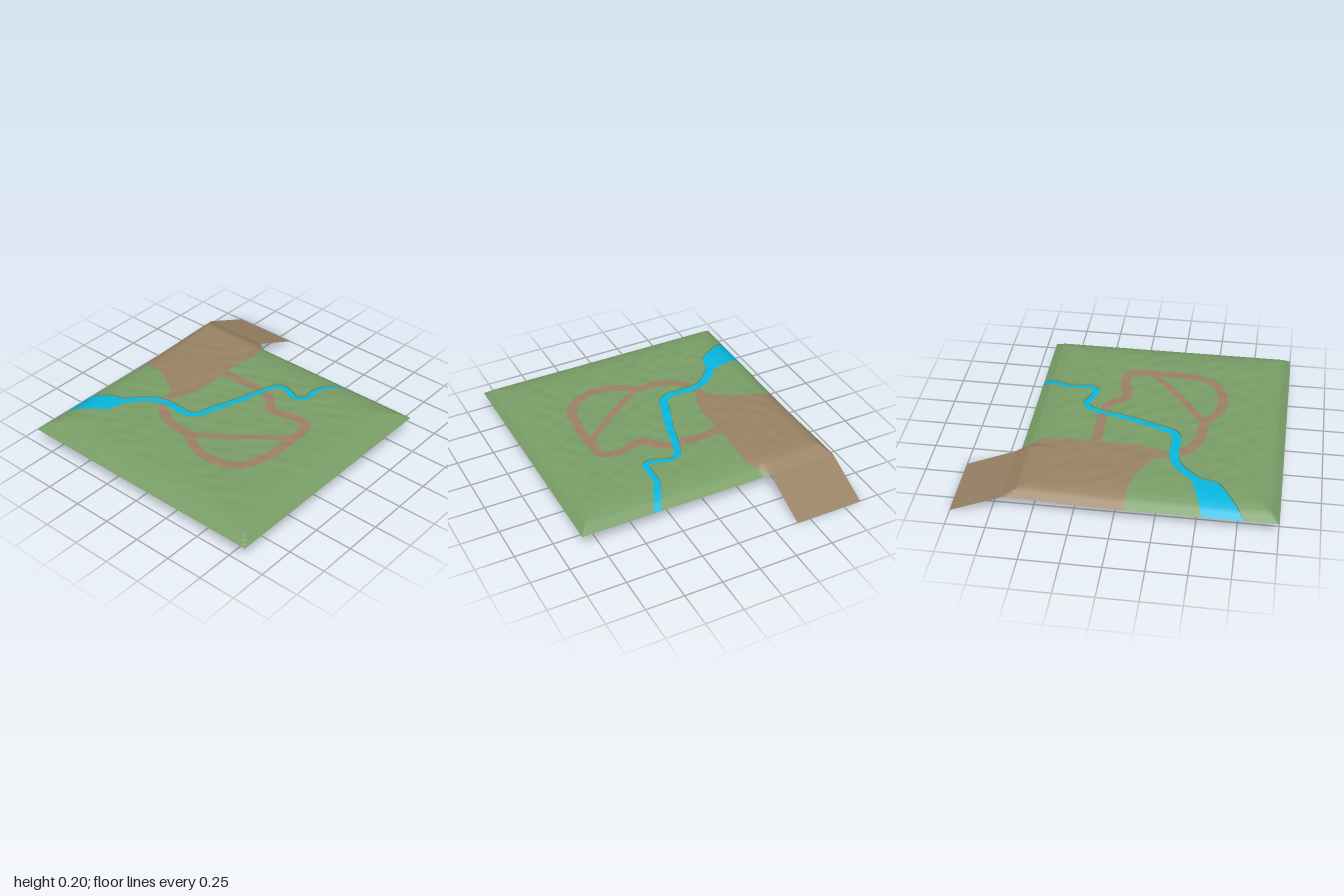
import * as THREE from 'three';

const X0 = -1, X1 = 0.65, Z = 0.87;
const COLORS = { grass: 0x789d66, river: 0x08b6de, dirtPath: 0x9c7f66, bareEarth: 0x988263 };
const { smoothstep } = THREE.MathUtils;
const V = (x, z) => new THREE.Vector2(x, z);
const toPoints = list => list.map(p => V(...p));
const smooth = (list, n) => new THREE.SplineCurve(toPoints(list)).getPoints(n);

// distance from a point to a segment
function segmentDistance(x, z, a, b) {
  const dx = b.x - a.x, dz = b.y - a.y;
  const t = THREE.MathUtils.clamp(((x - a.x) * dx + (z - a.y) * dz) / (dx * dx + dz * dz), 0, 1);
  return Math.hypot(x - a.x - t * dx, z - a.y - t * dz);
}
function lineDistance(x, z, pts) {
  let d = Infinity;
  for (let i = 1; i < pts.length; i++) d = Math.min(d, segmentDistance(x, z, pts[i - 1], pts[i]));
  return d;
}
// signed distance to a closed outline, negative inside
function areaDistance(x, z, pts) {
  let inside = false;
  for (let i = 0, j = pts.length - 1; i < pts.length; j = i++) {
    const a = pts[i], b = pts[j];
    if ((a.y > z) !== (b.y > z) && x < (b.x - a.x) * (z - a.y) / (b.y - a.y) + a.x) inside = !inside;
  }
  const d = lineDistance(x, z, [...pts, pts[0]]);
  return inside ? -d : d;
}

// layout of the water, paths and bare ground, as [x, z]
const riverLine = smooth([[-0.52, -0.63], [-0.42, -0.55], [-0.35, -0.47], [-0.32, -0.37], [-0.32, -0.2],
  [-0.27, -0.135], [-0.18, -0.105], [0, -0.04], [0.12, -0.01], [0.25, 0.03], [0.3, 0.07], [0.3, 0.13],
  [0.27, 0.2], [0.275, 0.26], [0.32, 0.28], [0.45, 0.28], [0.55, 0.325], [0.7, 0.395]], 90);
const riverMouth = toPoints([[-0.81, -0.9], [-0.55, -0.9], [-0.45, -0.61], [-0.5, -0.58], [-0.62, -0.61]]);
const loopPath = smooth([[-0.22, -0.4], [-0.33, -0.38], [-0.42, -0.3], [-0.47, -0.18], [-0.48, -0.04],
  [-0.55, 0.08], [-0.58, 0.2], [-0.56, 0.32], [-0.5, 0.42], [-0.4, 0.47], [-0.25, 0.49], [-0.05, 0.49],
  [0.05, 0.475], [0.09, 0.42], [0.08, 0.32], [0.055, 0.22], [0.08, 0.16], [0.15, 0.1], [0.18, 0],
  [0.18, -0.15], [0.18, -0.34]], 90);
const crossPath = smooth([[-0.48, -0.04], [-0.35, 0.16], [-0.22, 0.32], [-0.1, 0.47]], 20);
const earthArea = toPoints([[-0.07, -0.9], [-0.08, -0.7], [-0.11, -0.6], [-0.19, -0.46], [-0.28, -0.39],
  [-0.2, -0.34], [-0.1, -0.31], [0.2, -0.31], [0.5, -0.305], [0.58, -0.34], [0.64, -0.4], [0.7, -0.41], [0.7, -0.9]]);

const riverField = (x, z) => Math.min(
  lineDistance(x, z, riverLine) - THREE.MathUtils.lerp(0.03, 0.022, smoothstep(x, -0.3, 0.4)),
  areaDistance(x, z, riverMouth));
const pathField = (x, z) => Math.min(lineDistance(x, z, loopPath) - 0.032, lineDistance(x, z, crossPath) - 0.023);
const earthField = (x, z) => areaDistance(x, z, earthArea);

// plateau height with rounded-off borders and gentle lumps
const slope = [[0, 0.12], [0.05, 0.162], [0.1, 0.179], [0.17, 0.189], [0.28, 0.193], [9, 0.193]];
const edgeDistance = (x, z) => Math.max(0, Math.min(x - X0, (X1 - x) * 0.8, Z - Math.abs(z)));
function height(x, z) {
  const d = edgeDistance(x, z);
  const i = slope.findIndex(s => s[0] > d);
  const [d0, y0] = slope[i - 1], [d1, y1] = slope[i];
  const y = y0 + (y1 - y0) * (d - d0) / (d1 - d0);
  const lumps = Math.sin(x * 23 + 2 * Math.sin(z * 9)) * Math.sin(z * 27 + 2 * Math.sin(x * 11))
    + 0.6 * Math.sin(x * 47 + z * 13) * Math.sin(z * 41 - x * 17);
  const raised = 0.02 * smoothstep(x, 0, X1) * smoothstep(-z, 0.36, 0.41) * (1 - smoothstep(d, 0.05, 0.2));
  return y + raised + 0.0028 * lumps * smoothstep(d, 0.03, 0.2);
}
const sink = (x, z) => 0.012 * Math.min(1, edgeDistance(x, z) / 0.06);
// the border bulges a little where the ramp begins
const shiftX = (x, z) => x + 0.02 * smoothstep(x, 0.58, X1) * smoothstep(-z, 0.36, 0.41);

// cuts a polygon along the zero line of a field
function split(poly, field) {
  const inside = [], outside = [], cut = [];
  const f = poly.map(p => field(p.x, p.y));
  poly.forEach((p, i) => {
    const j = (i + 1) % poly.length;
    (f[i] < 0 ? inside : outside).push(p);
    if ((f[i] < 0) !== (f[j] < 0)) {
      const c = p.clone().lerp(poly[j], f[i] / (f[i] - f[j]));
      inside.push(c); outside.push(c); cut.push(c);
    }
  });
  return { inside, outside, cut };
}

function makeMesh(name, color, positions, normals) {
  const g = new THREE.BufferGeometry();
  g.setAttribute('position', new THREE.Float32BufferAttribute(positions, 3));
  if (normals) g.setAttribute('normal', new THREE.Float32BufferAttribute(normals, 3));
  else g.computeVertexNormals();
  const mesh = new THREE.Mesh(g, new THREE.MeshStandardMaterial({ color, side: THREE.DoubleSide }));
  mesh.name = name;
  return mesh;
}
const quad = (a, b, c, d) => [a, b, c, a, c, d].flat();

export function createModel() {
  const group = new THREE.Group();
  group.name = 'landscape';
  const parts = {};
  for (const name in COLORS) parts[name] = { pos: [], nor: [] };
  const bank = [];

  const addPoint = (part, p, drop) => {
    const e = 0.008, { x, y: z } = p;
    part.pos.push(shiftX(x, z), height(x, z) - drop, z);
    const xa = Math.max(X0, x - e), xb = Math.min(X1, x + e);
    const za = Math.max(-Z, z - e), zb = Math.min(Z, z + e);
    const n = new THREE.Vector3((height(xa, z) - height(xb, z)) / (xb - xa), 1,
      (height(x, za) - height(x, zb)) / (zb - za)).normalize();
    part.nor.push(n.x, n.y, n.z);
  };
  const addPoly = (name, poly) => {
    for (let i = 2; i < poly.length; i++)
      for (const p of [poly[0], poly[i - 1], poly[i]])
        addPoint(parts[name], p, name === 'river' ? sink(p.x, p.y) : 0);
  };
  const addGround = tri => {
    const water = split(tri, riverField);
    addPoly('river', water.inside);
    if (water.cut.length === 2) {
      const [a, b] = water.cut;
      const at = (p, k) => [shiftX(p.x, p.y), height(p.x, p.y) - k * sink(p.x, p.y), p.y];
      bank.push(...quad(at(a, 0), at(b, 0), at(b, 1), at(a, 1)));
    }
    if (water.outside.length < 3) return;
    const earth = split(water.outside, earthField);
    addPoly('bareEarth', earth.inside);
    if (earth.outside.length < 3) return;
    const path = split(earth.outside, pathField);
    addPoly('dirtPath', path.inside);
    addPoly('grass', path.outside);
  };

  // ground grid, divided into its surfaces
  const nx = 96, nz = 102;
  const node = (i, j) => V(X0 + (X1 - X0) * i / nx, -Z + 2 * Z * j / nz);
  for (let i = 0; i < nx; i++) for (let j = 0; j < nz; j++) {
    const a = node(i, j), b = node(i, j + 1), c = node(i + 1, j + 1), d = node(i + 1, j);
    addGround([a, b, c]);
    addGround([a, c, d]);
  }
  for (const name in parts) group.add(makeMesh(name, COLORS[name], parts[name].pos, parts[name].nor));
  group.add(makeMesh('riverBank', COLORS.grass, bank));

  // flat ramp leading down from the bare earth
  group.add(makeMesh('ramp', COLORS.bareEarth,
    quad([0.67, 0.14, -Z], [0.67, 0.14, -0.41], [1, 0, -0.41], [1, 0, -Z])));
  return group;
}
